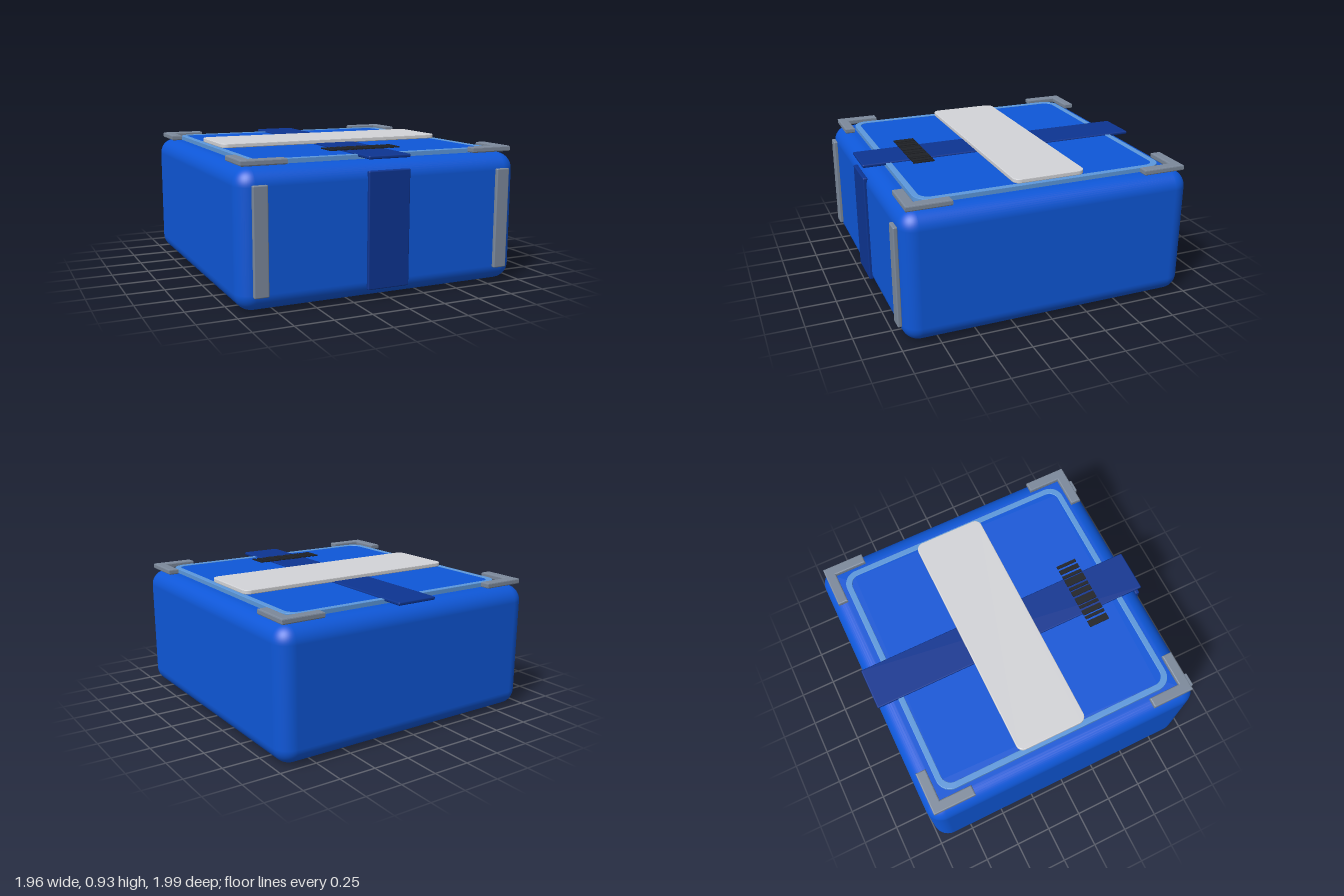
import * as THREE from 'three';
import { RoundedBoxGeometry } from 'three/addons/geometries/RoundedBoxGeometry.js';

const mat = (name, color) => Object.assign(new THREE.MeshStandardMaterial({ color }), { name });

// Rounded rectangle outline centred on the origin
function roundedRect(w, d, r, Target = THREE.Shape) {
  const s = new Target(), x = w / 2, y = d / 2;
  s.moveTo(-x + r, -y);
  s.lineTo(x - r, -y);
  s.absarc(x - r, -y + r, r, -Math.PI / 2, 0);
  s.lineTo(x, y - r);
  s.absarc(x - r, y - r, r, 0, Math.PI / 2);
  s.lineTo(-x + r, y);
  s.absarc(-x + r, y - r, r, Math.PI / 2, Math.PI);
  s.lineTo(-x, -y + r);
  s.absarc(-x + r, -y + r, r, Math.PI, Math.PI * 1.5);
  return s;
}

// Horizontal plate from y0 to y1 with softly bevelled edges
function plate(shape, y0, y1, bevel = 0.004) {
  const g = new THREE.ExtrudeGeometry(shape, {
    depth: y1 - y0 - 2 * bevel, curveSegments: 8, bevelEnabled: bevel > 0,
    bevelThickness: bevel, bevelSize: bevel, bevelOffset: -bevel, bevelSegments: 2,
  });
  return g.rotateX(-Math.PI / 2).translate(0, y0 + bevel, 0);
}

export function createModel() {
  const blue = mat('case blue', 0x0e57d8);
  const lightBlue = mat('rim light blue', 0x5c98dc);
  const navy = mat('strap navy', 0x0d3592);
  const grey = mat('guard grey', 0x7c899b);
  const white = mat('label pale grey', 0xd3d4d8);
  const black = mat('barcode black', 0x1f2126);

  const model = new THREE.Group();
  model.name = 'package';
  const add = (name, geometry, material, x = 0, y = 0, z = 0) => {
    const m = new THREE.Mesh(geometry, material);
    m.name = name;
    m.position.set(x, y, z);
    model.add(m);
    return m;
  };
  const cz = -0.01; // the box sits slightly behind centre

  // Box body
  add('body', new RoundedBoxGeometry(1.96, 0.866, 1.96, 6, 0.11), blue, 0, 0.433, cz);

  // Lid rim and inset panel
  const rim = roundedRect(1.69, 1.685, 0.1);
  rim.holes.push(roundedRect(1.61, 1.605, 0.07, THREE.Path));
  add('lidRim', plate(rim, 0.855, 0.896, 0.003), lightBlue, 0, 0, cz);
  add('lidPanel', plate(roundedRect(1.612, 1.607, 0.07), 0.855, 0.892, 0), blue, 0, 0, cz);

  // Straps over the lid and down the front
  add('topStrap', new RoundedBoxGeometry(0.29, 0.022, 1.985, 2, 0.008), navy, 0, 0.892, -0.005);
  add('frontStrap', new RoundedBoxGeometry(0.29, 0.75, 0.03, 2, 0.008), navy, 0, 0.435, 0.975);

  // Front edge guards
  for (const s of [-1, 1]) {
    add(s > 0 ? 'leftGuard' : 'rightGuard',
      new RoundedBoxGeometry(0.095, 0.67, 0.03, 2, 0.008), grey, s * 0.847, 0.435, 0.98);
  }

  // L-shaped corner brackets
  const L = 0.29, W = 0.07;
  for (const sx of [-1, 1]) for (const sz of [-1, 1]) {
    const pts = [[0, 0], [L, 0], [L, W], [W, W], [W, L], [0, L]]
      .map(([a, b]) => new THREE.Vector2(sx * (0.942 - a), -sz * (0.94 - b)));
    add('cornerBracket', plate(new THREE.Shape(pts), 0.874, 0.911, 0.008), grey, 0, 0, -0.012);
  }

  // Address label
  add('label', plate(roundedRect(1.645, 0.49, 0.05), 0.898, 0.927, 0.005), white, 0, 0, -0.05);

  // Barcode: left edge and width of each bar
  const bars = [[-0.256, 0.047], [-0.193, 0.021], [-0.161, 0.037], [-0.108, 0.021], [-0.077, 0.053],
    [-0.008, 0.037], [0.04, 0.021], [0.077, 0.053], [0.14, 0.021], [0.177, 0.032], [0.225, 0.021]];
  for (const [x, w] of bars) {
    add('barcodeBar', new THREE.BoxGeometry(w, 0.008, 0.145), black, x + w / 2, 0.908, 0.598);
  }
  return model;
}
